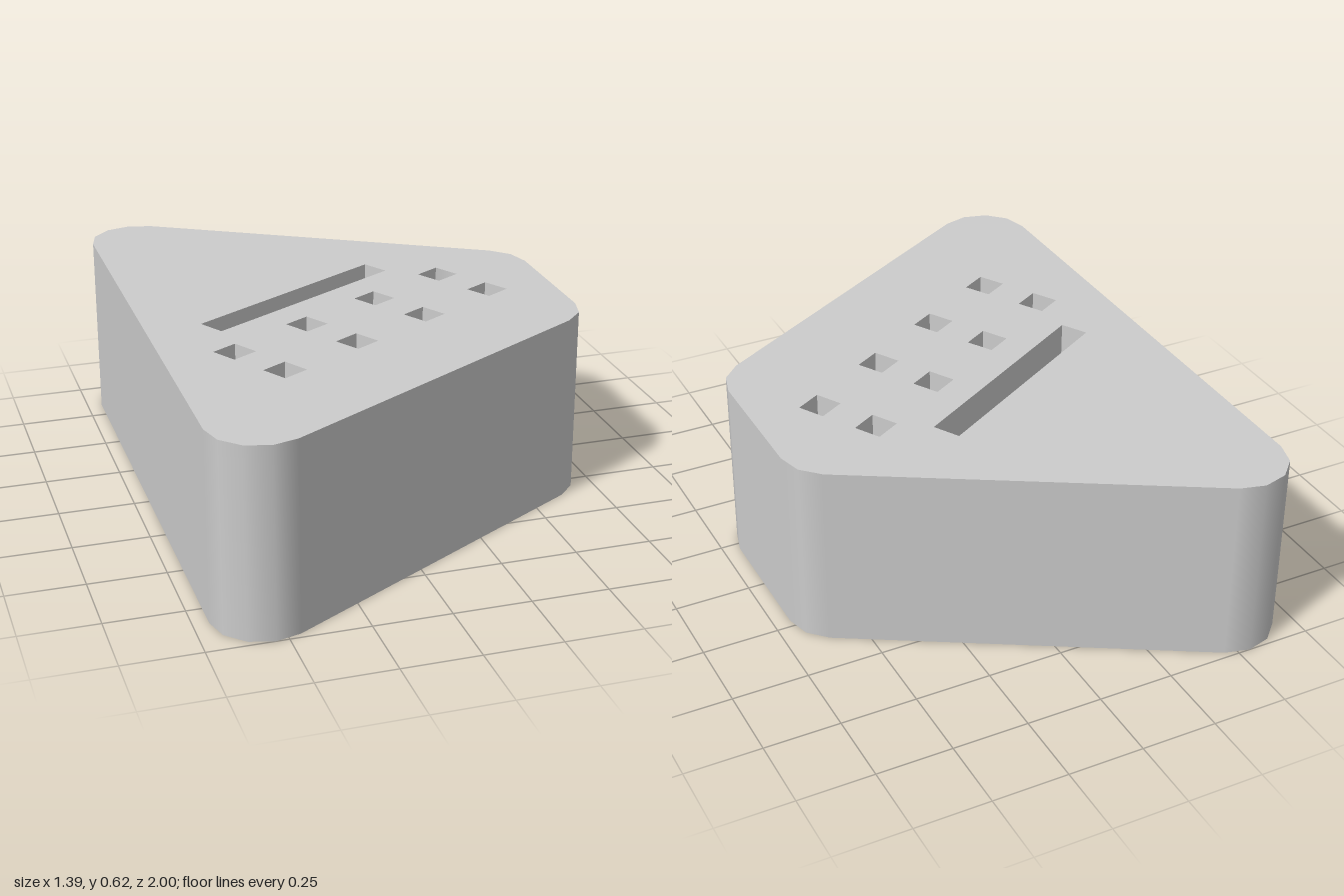
import * as THREE from 'three';

const HEIGHT = 0.62;
const RADIUS = 0.16;
const TILT = Math.PI / 6;

// Rounded corners in plan (x, -z): centre, start angle and number of 30 degree steps
const CORNERS = [
  { x: 0.535, y: -0.22, start: -60, steps: 2 },
  { x: 0.535, y: 0.22, start: 0, steps: 2 },
  { x: -0.54, y: 0.84, start: 60, steps: 4 },
  { x: -0.54, y: -0.84, start: 180, steps: 4 },
];

function outline() {
  const points = [];
  for (const c of CORNERS) {
    for (let i = 0; i <= c.steps; i++) {
      const a = THREE.MathUtils.degToRad(c.start + i * 30);
      points.push(new THREE.Vector2(c.x + RADIUS * Math.cos(a), c.y + RADIUS * Math.sin(a)));
    }
  }
  return new THREE.Shape(points);
}

// Tilted rectangular opening, centred at x, z
function opening(x, z, length, width) {
  const l = length / 2, w = width / 2;
  const centre = new THREE.Vector2(x, -z);
  const corners = [[-l, -w], [-l, w], [l, w], [l, -w]].map(([u, v]) =>
    new THREE.Vector2(u, v).rotateAround(new THREE.Vector2(), TILT).add(centre));
  return new THREE.Path(corners);
}

// Radial normals round the outer corners; they match the flat walls where they meet
function smoothCorners(geometry) {
  const pos = geometry.attributes.position;
  const nor = geometry.attributes.normal;
  for (let i = 0; i < pos.count; i++) {
    if (Math.abs(nor.getZ(i)) > 0.5) continue; // top and bottom faces stay flat
    for (const c of CORNERS) {
      const dx = pos.getX(i) - c.x, dy = pos.getY(i) - c.y;
      if (Math.abs(Math.hypot(dx, dy) - RADIUS) < 1e-4) {
        nor.setXYZ(i, dx / RADIUS, dy / RADIUS, 0);
      }
    }
  }
}

export function createModel() {
  const group = new THREE.Group();
  const shape = outline();

  // Long slot
  shape.holes.push(opening(-0.157, -0.114, 0.775, 0.094));

  // Two rows of four square sockets
  const along = [Math.cos(TILT), -Math.sin(TILT)];
  const across = [Math.sin(TILT), Math.cos(TILT)];
  for (let row = 0; row < 2; row++) {
    for (let i = 0; i < 4; i++) {
      const u = (i - 1.5) * 0.32, v = row * 0.217;
      shape.holes.push(opening(
        -0.056 + u * along[0] + v * across[0],
        0.06 + u * along[1] + v * across[1],
        0.093, 0.093));
    }
  }

  // Solid block, pierced from top to bottom
  const geometry = new THREE.ExtrudeGeometry(shape, { depth: HEIGHT, bevelEnabled: false });
  smoothCorners(geometry);
  geometry.rotateX(-Math.PI / 2);

  const block = new THREE.Mesh(geometry, new THREE.MeshStandardMaterial({ color: 0xcccccc }));
  block.name = 'holderBlock';
  group.add(block);
  return group;
}
